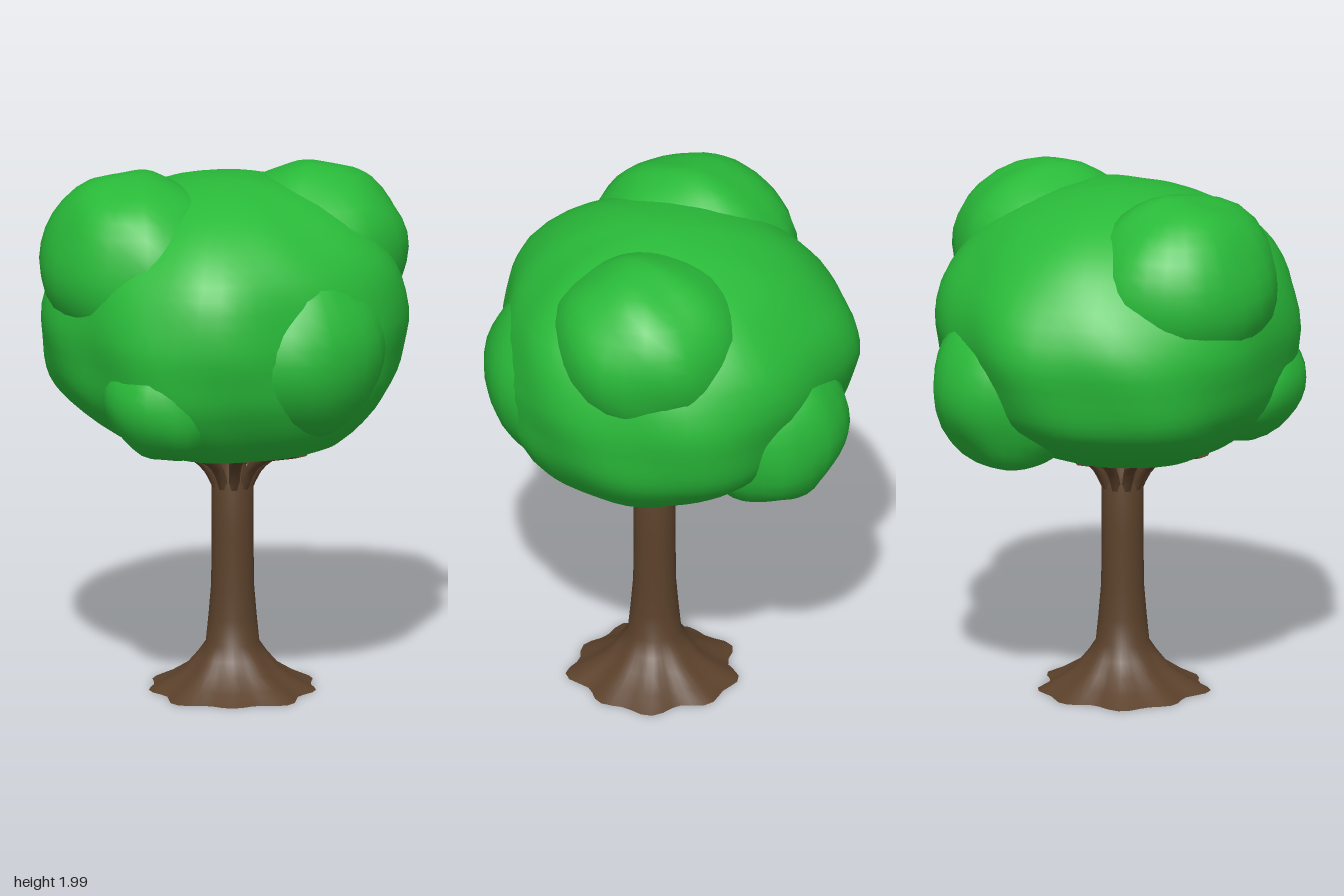
import * as THREE from 'three';
import { mergeVertices } from 'three/addons/utils/BufferGeometryUtils.js';

const leafGreen = new THREE.MeshStandardMaterial({ color: 0x29ba39 });
const barkBrown = new THREE.MeshStandardMaterial({ color: 0x5b412b, side: THREE.DoubleSide });

// Move every vertex by a rule, weld the seams and smooth the normals
function reshape(geometry, rule) {
  geometry.deleteAttribute('uv');
  geometry.deleteAttribute('normal');
  const pos = geometry.attributes.position;
  const v = new THREE.Vector3();
  for (let i = 0; i < pos.count; i++) {
    rule(v.fromBufferAttribute(pos, i));
    pos.setXYZ(i, v.x, v.y, v.z);
  }
  const welded = mergeVertices(geometry, 1e-4);
  welded.computeVertexNormals();
  return welded;
}

function add(parent, name, geometry, material) {
  const mesh = new THREE.Mesh(geometry, material);
  mesh.name = name;
  parent.add(mesh);
  return mesh;
}

const lathe = (points, sides) =>
  new THREE.LatheGeometry(points.map(([r, y]) => new THREE.Vector2(r, y)), sides);

const TRUNK_Z = 0.065;
const clamp01 = (t) => THREE.MathUtils.clamp(t, 0, 1);
const lobe = (angle, power) => Math.max(0, Math.cos(angle)) ** power;

// Scalloped edge of the roots
function rootRule(v) {
  const a = Math.atan2(v.x, v.z);
  const flare = clamp01(1 - v.y / 0.18);
  const k = 1 + flare * (0.06 * Math.sin(9 * a) + 0.04 * Math.sin(5 * a + 1));
  v.x *= k;
  v.z *= k;
}

// Uneven crown outline: fuller on the diagonals, peaked at the back, hollowed behind
// the front and back clumps, leaning forward at its base and top
function crownRule(v) {
  const a = Math.atan2(v.x, v.z);
  const hollow = 0.09 * lobe(a - 2.58, 8) * clamp01((1.6 - v.y) / 0.35)
    + 0.025 * lobe(a - 0.12, 8);
  const peak = 0.03 * lobe(a - Math.PI, 30) * clamp01((v.y - 1.1) / 0.3);
  const k = 1 - hollow + peak - 0.016 * Math.cos(4 * a) + 0.012 * Math.sin(3 * a + 1 + 2 * v.y)
    - 0.014 * Math.sin(5 * a - 3 * v.y) + 0.01 * Math.sin(9 * a + 8 * v.y);
  v.x *= k;
  v.z = v.z * k + TRUNK_Z * clamp01(1 - (v.y - 0.975) / 0.18) + 0.03 * clamp01((v.y - 1.5) / 0.2);
}

// Lumpy rounded clump of leaves
function clump([cx, cy, cz], [rx, ry, rz], seed) {
  return reshape(new THREE.SphereGeometry(1, 28, 18), (v) => {
    v.multiplyScalar(1 + 0.015 * Math.sin(4 * v.x + 5 * v.y + seed)
      + 0.015 * Math.sin(7 * v.z - 4 * v.y + 2 * seed) + 0.012 * Math.sin(9 * v.x + 6 * v.z + seed));
    v.set(cx + v.x * rx, cy + v.y * ry, cz + v.z * rz);
  });
}

export function createModel() {
  const tree = new THREE.Group();
  tree.name = 'tree';

  // Trunk with a root flare, closed below by a ribbed hollow
  const trunkProfile = [[0.305, 0], [0.24, 0.035], [0.175, 0.08], [0.135, 0.13], [0.1, 0.18],
    [0.09, 0.28], [0.08, 0.4], [0.078, 0.6], [0.078, 0.8], [0.05, 0.85], [0.045, 0.985]];
  add(tree, 'trunk', reshape(lathe(trunkProfile, 48), rootRule), barkBrown).position.z = TRUNK_Z;
  add(tree, 'rootUnderside', reshape(lathe([[0, 0.06], [0.08, 0.05], [0.18, 0.025], [0.305, 0]], 48), (v) => {
    const rib = v.y > 0.01 && v.y < 0.055 ? 0.012 * Math.sin(12 * Math.atan2(v.x, v.z)) : 0;
    rootRule(v);
    v.y += rib;
  }), barkBrown).position.z = TRUNK_Z;

  // Branches fanning out and widening to the underside of the crown
  const branches = new THREE.Group();
  branches.name = 'branches';
  branches.position.z = TRUNK_Z;
  tree.add(branches);
  const bend = new THREE.CatmullRomCurve3([
    new THREE.Vector3(0, 0.77, 0.055), new THREE.Vector3(0, 0.85, 0.095),
    new THREE.Vector3(0, 0.91, 0.16), new THREE.Vector3(0, 0.985, 0.39)]);
  const branchShape = reshape(new THREE.TubeGeometry(bend, 10, 0.02, 6), (v) => {
    v.x *= 1 + 4 * Math.max(0, v.z - 0.07);
  });
  for (let i = 0; i < 10; i++) {
    add(branches, 'branch', branchShape, barkBrown).rotation.y = (i + 0.3) * Math.PI / 5;
  }

  // Ribbed brown underside of the crown
  add(tree, 'crownUnderside', reshape(lathe([[0, 0.99], [0.12, 0.985], [0.28, 0.98], [0.41, 0.975]], 64), (v) => {
    const r = Math.hypot(v.x, v.z);
    const rib = r > 0.05 && r < 0.4 ? 0.012 * Math.sin(16 * Math.atan2(v.x, v.z)) : 0;
    crownRule(v);
    v.y += rib;
  }), barkBrown);

  // Main crown
  const crownProfile = new THREE.SplineCurve([[0.41, 0.975], [0.505, 1.04], [0.605, 1.135], [0.65, 1.22], [0.668, 1.32],
    [0.68, 1.45], [0.64, 1.6], [0.565, 1.72], [0.46, 1.82], [0.33, 1.895], [0.17, 1.945], [0, 1.962]]
    .map(([r, y]) => new THREE.Vector2(r, y))).getPoints(26);
  crownProfile[26].x = 0;
  add(tree, 'crown', reshape(new THREE.LatheGeometry(crownProfile, 56), crownRule), leafGreen);

  // Leaf clumps swelling out of the crown: name, centre, radii
  [
    ['upperRightClump', [-0.345, 1.655, -0.06], [0.345, 0.34, 0.395]],
    ['upperLeftClump', [0.32, 1.655, 0.08], [0.37, 0.325, 0.375]],
    ['frontClump', [0.07, 1.38, 0.365], [0.37, 0.36, 0.335]],
    ['lowerRightClump', [-0.385, 1.22, 0.27], [0.245, 0.24, 0.245]],
    ['backLeftClump', [0.22, 1.25, -0.36], [0.3, 0.325, 0.3]],
  ].forEach(([name, centre, radii], i) => add(tree, name, clump(centre, radii, i * 1.7 + 0.4), leafGreen));

  return tree;
}
